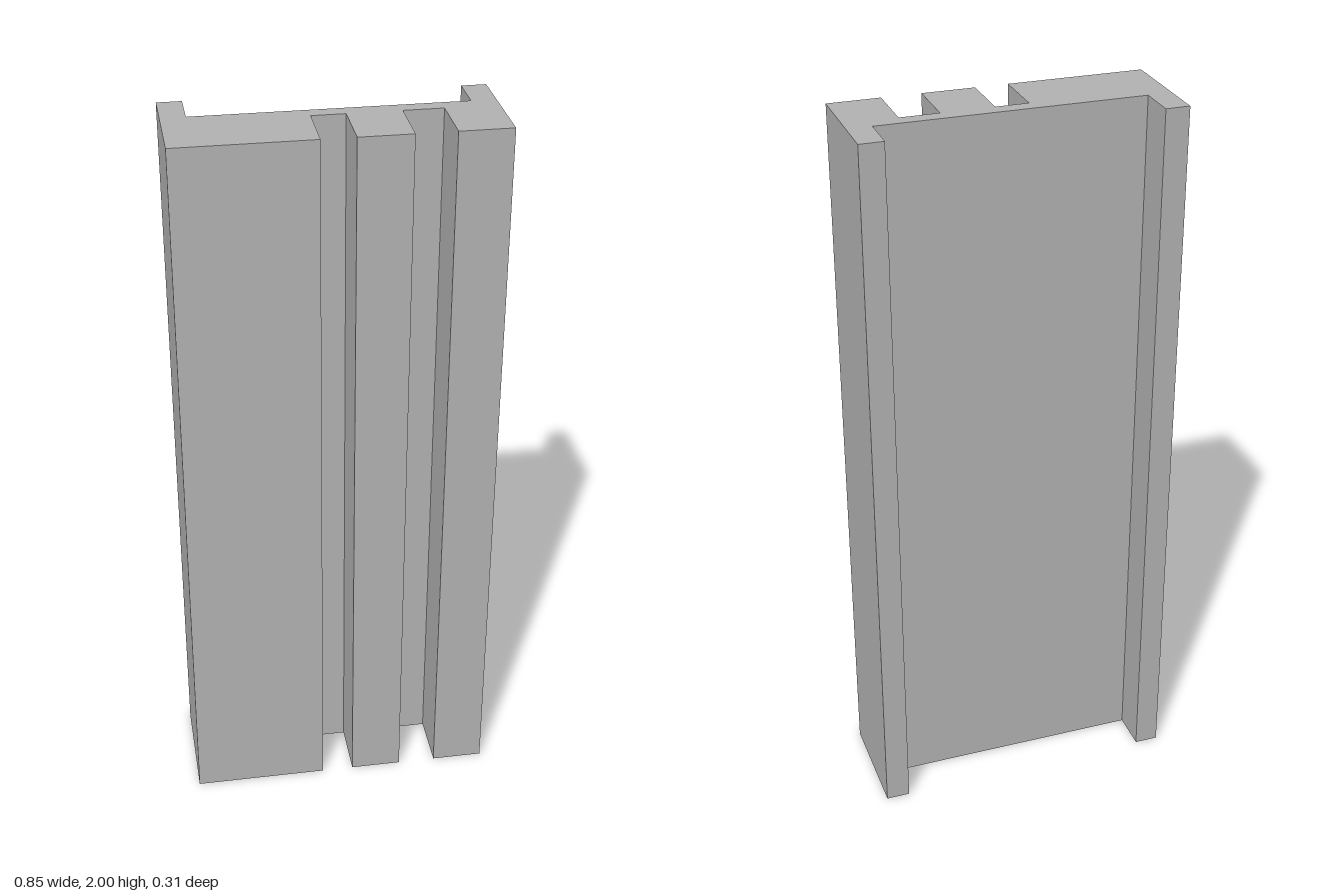
import * as THREE from 'three';

export function createModel() {
  const group = new THREE.Group();
  group.name = 'groovedChannel';

  const grey = new THREE.MeshStandardMaterial({ color: 0xb2b2b2 });
  grey.name = 'grey';

  // Outer extents and the depths (z) of the channel floors
  const side = 0.426, front = 0.157, back = -0.157;
  const backFloor = -0.045, grooveFloor = -0.004, flangeInner = 0.36;
  // Front grooves as [left x, right x]
  const grooves = [[-0.055, 0.034], [0.177, 0.283]];

  // Cross-section in x and z: front edge with grooves, then back edge with flanges
  const profile = [[-side, front]];
  for (const [a, b] of grooves) {
    profile.push([a, front], [a, grooveFloor], [b, grooveFloor], [b, front]);
  }
  profile.push(
    [side, front], [side, back], [flangeInner, back], [flangeInner, backFloor],
    [-flangeInner, backFloor], [-flangeInner, back], [-side, back]
  );

  // Extruded bar, turned upright so its length runs along y
  const shape = new THREE.Shape(profile.map(([x, z]) => new THREE.Vector2(x, -z)));
  const geometry = new THREE.ExtrudeGeometry(shape, { depth: 2, bevelEnabled: false });
  geometry.rotateX(-Math.PI / 2);

  const bar = new THREE.Mesh(geometry, grey);
  bar.name = 'groovedBar';
  group.add(bar);
  return group;
}
